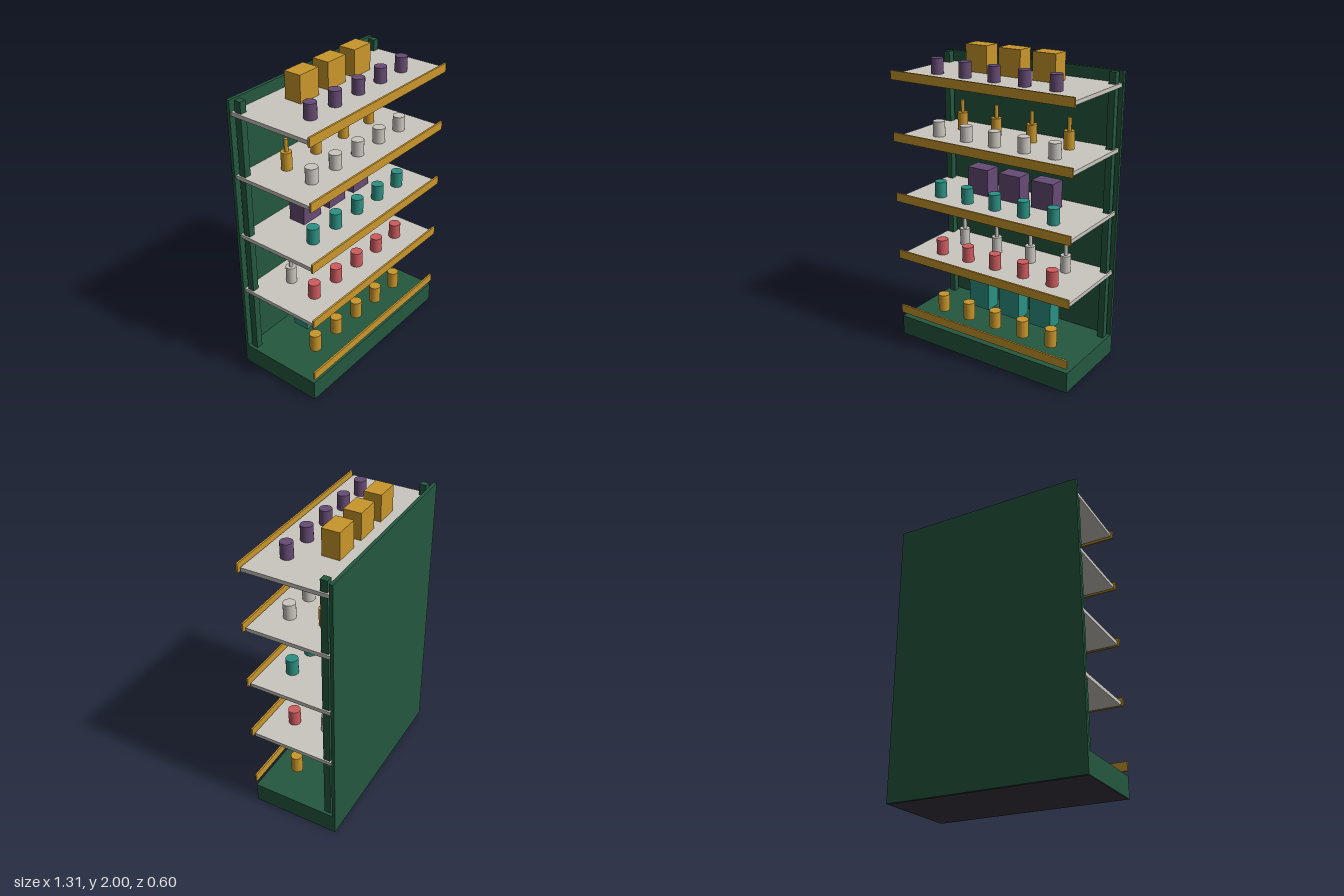
import * as THREE from 'three';

const mat = (name, color) => {
  const m = new THREE.MeshStandardMaterial({ color });
  m.name = name;
  return m;
};

export function createModel() {
  const group = new THREE.Group();
  group.name = 'displayShelf';

  const green = mat('green', 0x24583f);
  const gold = mat('gold', 0xc9962b);
  const white = mat('offWhite', 0xcac6bf);
  const purple = mat('purple', 0x664b74);
  const teal = mat('teal', 0x2b9083);
  const red = mat('red', 0xcf5b5e);
  const dark = mat('darkUnderside', 0x3a3340);

  // Box given by its extents
  const box = (name, material, x0, x1, y0, y1, z0, z1, parent = group) => {
    const mesh = new THREE.Mesh(new THREE.BoxGeometry(x1 - x0, y1 - y0, z1 - z0), material);
    mesh.position.set((x0 + x1) / 2, (y0 + y1) / 2, (z0 + z1) / 2);
    mesh.name = name;
    parent.add(mesh);
  };
  // Upright cylinder standing on y0
  const cylinder = (name, material, r, x, y0, y1, z, parent) => {
    const mesh = new THREE.Mesh(new THREE.CylinderGeometry(r, r, y1 - y0, 20), material);
    mesh.position.set(x, (y0 + y1) / 2, z);
    mesh.name = name;
    parent.add(mesh);
  };

  // Cabinet: base, underside, back panel and rear posts
  box('base', green, -0.655, 0.655, 0.002, 0.14, -0.295, 0.293);
  box('underside', dark, -0.65, 0.65, 0, 0.006, -0.29, 0.288);
  box('backPanel', green, -0.655, 0.655, 0.002, 1.9, -0.3, -0.278);
  for (const s of [-1, 1]) {
    const x = s * 0.613;
    box('post', green, x - 0.022, x + 0.022, 0.14, 1.9, -0.257, -0.212);
  }

  // Goods levels; the lowest one has a lip but no slab
  const levels = [
    { top: 0.18, lip: 0.201, jar: gold, jarTop: 0.3, back: teal, boxTop: 0.378 },
    { top: 0.607, lip: 0.611, jar: red, jarTop: 0.71, back: white, bottle: true },
    { top: 1.015, lip: 1.017, jar: teal, jarTop: 1.12, back: purple, boxTop: 1.195 },
    { top: 1.426, lip: 1.425, jar: white, jarTop: 1.525, back: gold, bottle: true },
    { top: 1.827, lip: 1.823, jar: purple, jarTop: 1.925, back: gold, boxTop: 2.0 },
  ];

  levels.forEach((l, i) => {
    const level = new THREE.Group();
    level.name = 'shelfLevel' + (i + 1);
    group.add(level);

    if (i > 0) box('shelf', white, -0.645, 0.645, l.top - 0.025, l.top, -0.277, 0.277, level);
    box('shelfLip', gold, -0.655, 0.655, l.lip - 0.029, l.lip + 0.029, 0.288, 0.3, level);

    // Front row of jars
    for (let k = -2; k <= 2; k++) {
      cylinder('jar', l.jar, 0.039, k * 0.215, l.top, l.jarTop, 0.115, level);
    }

    // Back row of bottles or cartons
    if (l.bottle) {
      for (const x of [-0.402, -0.135, 0.132, 0.4]) {
        cylinder('bottleBody', l.back, 0.034, x, l.top, l.top + 0.115, -0.1, level);
        cylinder('bottleNeck', l.back, 0.013, x, l.top + 0.115, l.top + 0.196, -0.1, level);
      }
    } else {
      for (const x of [-0.247, 0, 0.247]) {
        box('carton', l.back, x - 0.08, x + 0.08, l.top, l.boxTop, -0.16, -0.044, level);
      }
    }
  });

  return group;
}
